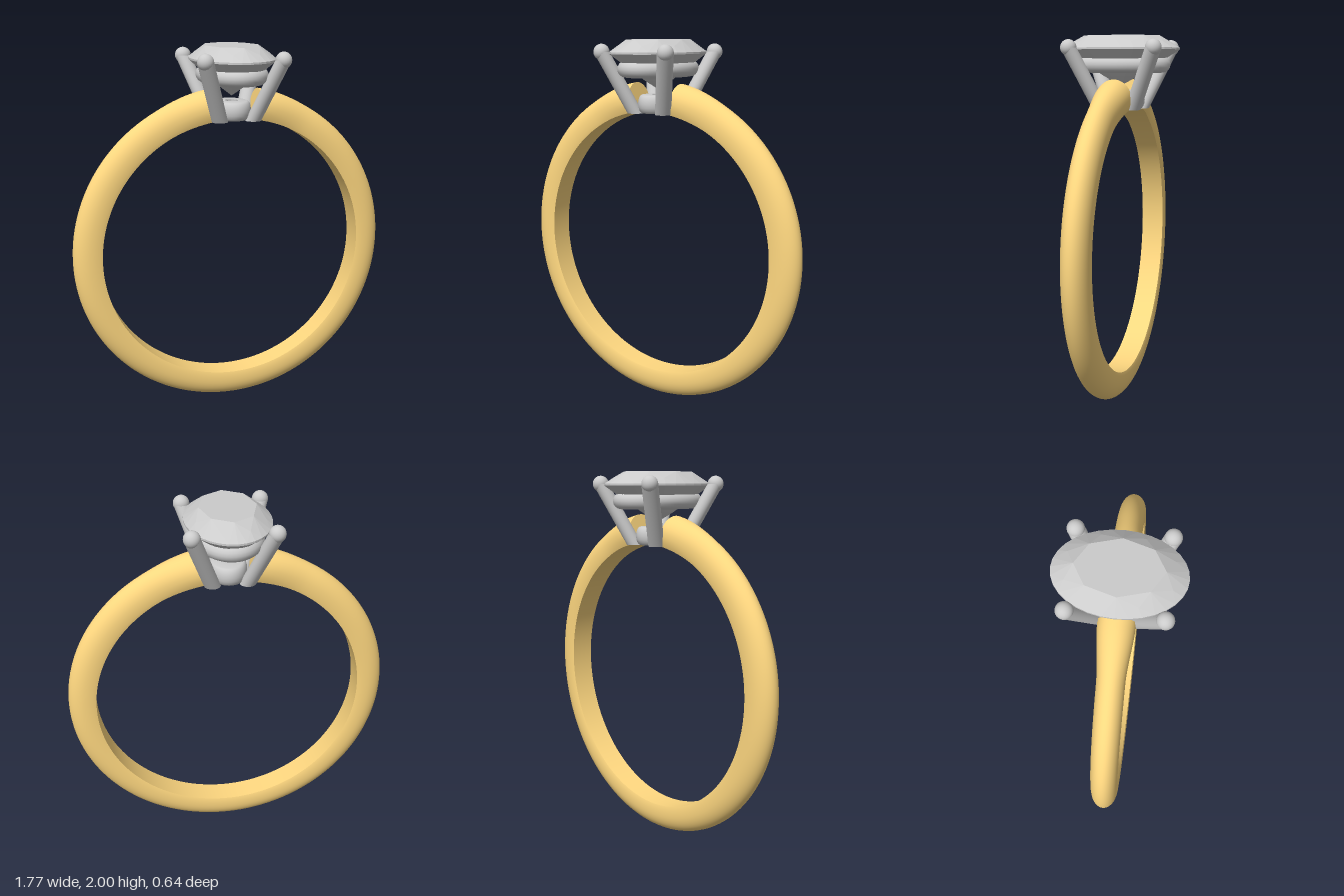
import * as THREE from 'three';
import { toCreasedNormals } from 'three/addons/utils/BufferGeometryUtils.js';
import { ConvexGeometry } from 'three/addons/geometries/ConvexGeometry.js';

const gold = new THREE.MeshStandardMaterial({ color: 0xffd880 });
const grey = new THREE.MeshStandardMaterial({ color: 0xcccccc });
const stoneGrey = new THREE.MeshStandardMaterial({ color: 0xcccccc, flatShading: true });

function part(name, geometry, material) {
  const mesh = new THREE.Mesh(geometry, material);
  mesh.name = name;
  return mesh;
}

// Domed band with a flat inside, flaring towards its open ends at the top
function bandGeometry() {
  const centreY = 0.885, inner = 0.735, gap = 0.165, steps = 144, dome = 20;
  const positions = [], index = [];
  const count = dome + 5;
  for (let i = 0; i <= steps; i++) {
    const angle = gap + (i / steps) * (2 * Math.PI - 2 * gap);
    const fromTop = Math.min(angle, 2 * Math.PI - angle);
    const flare = 1 - THREE.MathUtils.smoothstep(fromTop, 0.15, 0.55);
    const w = 0.07 + 0.024 * flare;
    const flat = w * (0.93 - 0.08 * flare);
    const outer = 0.885 + 0.013 * flare;
    const section = [[flat, inner], [w, inner + 0.018 + 0.02 * flare]];
    for (let k = 0; k <= dome; k++) {
      const a = (k / dome) * Math.PI;
      section.push([w * Math.cos(a), outer - 0.1 + 0.1 * Math.sin(a)]);
    }
    section.push([-w, inner + 0.018 + 0.02 * flare], [-flat, inner]);
    for (const [z, r] of section) positions.push(r * Math.sin(angle), centreY + r * Math.cos(angle), z);
  }
  for (let i = 0; i < steps; i++) {
    for (let j = 0; j < count; j++) {
      const a = i * count + j, b = i * count + (j + 1) % count;
      index.push(a, a + count, b, b, a + count, b + count);
    }
  }
  // End faces
  const last = steps * count;
  for (let j = 1; j < count - 1; j++) index.push(0, j, j + 1, last, last + j + 1, last + j);
  const geometry = new THREE.BufferGeometry();
  geometry.setAttribute('position', new THREE.Float32BufferAttribute(positions, 3));
  geometry.setIndex(index);
  return toCreasedNormals(geometry, 0.6);
}

// Oval brilliant: table, crown, thin girdle and pointed pavilion
function stoneGeometry() {
  const points = [new THREE.Vector3(0, 1.735, 0)];
  const ring = (n, r, y, turn = 0) => {
    for (let k = 0; k < n; k++) {
      const a = ((k + turn) / n) * Math.PI * 2;
      points.push(new THREE.Vector3(0.222 * r * Math.cos(a), y, 0.32 * r * Math.sin(a)));
    }
  };
  ring(8, 0.66, 2);
  ring(8, 0.84, 1.966, 0.5);
  ring(32, 1, 1.936);
  ring(32, 1, 1.926);
  ring(8, 0.3, 1.785, 0.5);
  return new ConvexGeometry(points);
}

// Barrel-shaped collar with a small hole through it
function collarGeometry() {
  const profile = [[0.32, 1.71], [0.32, 1.612], [0.8, 1.612]];
  for (let k = 0; k <= 8; k++) {
    const a = (k / 8 - 0.5) * Math.PI;
    profile.push([0.8 + 0.2 * Math.cos(a), 1.661 + 0.049 * Math.sin(a)]);
  }
  profile.push([0.32, 1.71]);
  const geometry = new THREE.LatheGeometry(profile.map(([x, y]) => new THREE.Vector2(x, y)), 48);
  geometry.scale(0.1, 1, 0.13);
  return toCreasedNormals(geometry, 0.7);
}

// Oval rail under the stone
function railGeometry() {
  const points = [];
  for (let k = 0; k < 24; k++) {
    const a = (k / 24) * Math.PI * 2;
    points.push(new THREE.Vector3(0.142 * Math.cos(a), 1.847, 0.226 * Math.sin(a)));
  }
  return new THREE.TubeGeometry(new THREE.CatmullRomCurve3(points, true), 72, 0.043, 16, true);
}

// Leaning claw with a flat foot and a round tip
function makeProng(sx, sz, name) {
  const foot = new THREE.Vector3(0.092 * sx, 1.61, 0.088 * sz);
  const tip = new THREE.Vector3(0.207 * sx, 1.935, 0.228 * sz);
  const height = tip.y - foot.y;
  const shaft = new THREE.CylinderGeometry(0.043, 0.043, height, 24);
  shaft.translate(0, height / 2, 0);
  const kx = (tip.x - foot.x) / height, kz = (tip.z - foot.z) / height;
  shaft.applyMatrix4(new THREE.Matrix4().set(
    1, kx, 0, foot.x,
    0, 1, 0, foot.y,
    0, kz, 1, foot.z,
    0, 0, 0, 1));
  const ball = new THREE.SphereGeometry(0.043, 24, 16);
  ball.translate(tip.x, tip.y, tip.z);
  const prong = new THREE.Group();
  prong.name = name;
  prong.add(part('prongShaft', shaft, grey), part('prongTip', ball, grey));
  return prong;
}

export function createModel() {
  const model = new THREE.Group();
  model.name = 'ring';
  model.add(part('band', bandGeometry(), gold));

  const setting = new THREE.Group();
  setting.name = 'setting';
  setting.add(part('collar', collarGeometry(), grey));
  setting.add(part('galleryRail', railGeometry(), grey));
  for (const [sx, side] of [[1, 'Left'], [-1, 'Right']]) {
    for (const [sz, end] of [[1, 'front'], [-1, 'back']]) {
      setting.add(makeProng(sx, sz, `${end}${side}Prong`));
    }
  }
  model.add(setting);
  model.add(part('stone', stoneGeometry(), stoneGrey));
  return model;
}
